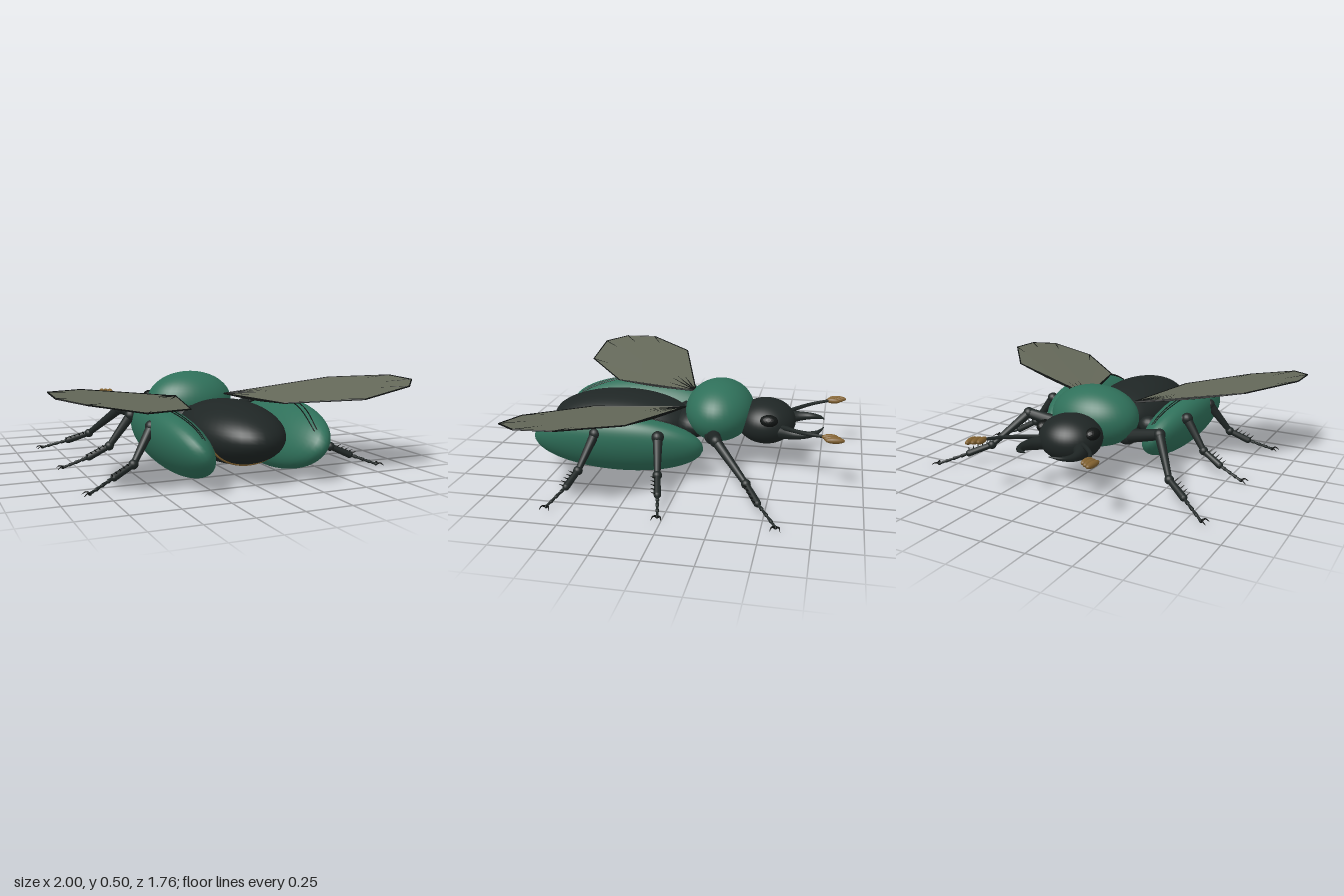
import * as THREE from 'three';

const mat = (color, extra = {}) => new THREE.MeshStandardMaterial({ color, ...extra });
const green = mat(0x2f705a);
const dark = mat(0x1f2625);
const black = mat(0x0e1110);
const brown = mat(0x80602f);
const membrane = mat(0x646859, { side: THREE.DoubleSide });
const V = (x, y, z) => new THREE.Vector3(x, y, z);

function add(parent, name, geometry, material) {
  const mesh = new THREE.Mesh(geometry, material);
  mesh.name = name;
  parent.add(mesh);
  return mesh;
}

function ellipsoid(parent, name, material, center, radii, w = 40, h = 28) {
  const mesh = add(parent, name, new THREE.SphereGeometry(1, w, h), material);
  mesh.position.set(...center);
  mesh.scale.set(...radii);
  return mesh;
}

// Straight limb segment tapering from radius ra at a to rb at b
function segment(parent, name, material, a, b, ra, rb, sides = 12) {
  const mesh = add(parent, name, new THREE.CylinderGeometry(rb, ra, a.distanceTo(b), sides), material);
  mesh.position.lerpVectors(a, b, 0.5);
  mesh.quaternion.setFromUnitVectors(V(0, 1, 0), b.clone().sub(a).normalize());
  return mesh;
}

// Tube along a smooth curve whose radius changes from r0 to r1
function taperTube(parent, name, material, points, r0, r1 = r0, steps = 20, sides = 8) {
  const curve = new THREE.CatmullRomCurve3(points);
  const geo = new THREE.TubeGeometry(curve, steps, 1, sides);
  const pos = geo.attributes.position;
  const p = V(0, 0, 0);
  for (let i = 0; i < pos.count; i++) {
    const u = Math.floor(i / (sides + 1)) / steps;
    const c = curve.getPointAt(u);
    p.fromBufferAttribute(pos, i).sub(c).multiplyScalar(r0 + (r1 - r0) * u).add(c);
    pos.setXYZ(i, p.x, p.y, p.z);
  }
  return add(parent, name, geo, material);
}

// Wing case: tilted ellipsoid with two raised dark lines
function makeWingCase(s) {
  const g = new THREE.Group();
  g.name = 'wingCase';
  g.position.set(s * 0.325, 0.2, 0.38);
  g.rotation.z = -s * 0.576;
  const [b, a, c] = [0.13, 0.203, 0.495];
  ellipsoid(g, 'wingCaseShell', green, [0, 0, 0], [b, a, c]);
  for (const start of [-32, -22]) {
    const pts = [];
    for (let i = 0; i <= 14; i++) {
      const u = -0.85 + (1.72 * i) / 14;
      const t = THREE.MathUtils.degToRad(start - 38 * u * u);
      const k = Math.sqrt(1 - u * u) * 1.01;
      pts.push(V(s * b * k * Math.sin(t), a * k * Math.cos(t), c * u));
    }
    taperTube(g, 'wingCaseLine', black, pts, 0.003, 0.003, 40, 5);
  }
  return g;
}

// Membrane wing: faceted fan with a dark border and radiating veins
function makeWing(s) {
  const g = new THREE.Group();
  g.name = 'flightWing';
  const outline = [
    [0.155, 0.38, 0.02], [0.765, 0.47, 0.2], [0.993, 0.503, 0.49], [0.996, 0.498, 0.69],
    [0.885, 0.48, 0.815], [0.6, 0.425, 0.82], [0.27, 0.385, 0.54],
  ].map(([x, y, z]) => V(s * x, y, z));
  const geo = new THREE.BufferGeometry().setFromPoints(outline);
  const index = [];
  for (let i = 1; i < outline.length - 1; i++) index.push(0, ...(s > 0 ? [i + 1, i] : [i, i + 1]));
  geo.setIndex(index);
  geo.computeVertexNormals();
  add(g, 'wingMembrane', geo, membrane);
  outline.forEach((p, i) => {
    segment(g, 'wingBorder', black, p, outline[(i + 1) % outline.length], 0.004, 0.004, 6);
    if (i === 0) return;
    const mid = outline[0].clone().lerp(p, 0.55);
    mid.y -= 0.008;
    taperTube(g, 'wingVein', black, [outline[0], mid, p], 0.005, 0.003, 12, 5);
  });
  return g;
}

// Leg from body (a) over the knee (b) and shin (c, d) to the foot (e)
function makeLeg(name, s, joints) {
  const g = new THREE.Group();
  g.name = name;
  const [a, b, c, d, e] = joints.map(([x, y, z]) => V(s * x, y, z));
  ellipsoid(g, 'hip', dark, a.toArray(), [0.06, 0.05, 0.05], 16, 12);
  segment(g, 'upperLeg', dark, a, b, 0.042, 0.03);
  ellipsoid(g, 'knee', dark, b.toArray(), [0.034, 0.034, 0.034], 16, 12);
  segment(g, 'thigh', dark, b, c, 0.028, 0.017);
  ellipsoid(g, 'shinJoint', dark, c.toArray(), [0.026, 0.026, 0.026], 16, 12);
  segment(g, 'shin', dark, c, d, 0.017, 0.02);
  ellipsoid(g, 'ankle', dark, d.toArray(), [0.02, 0.02, 0.02], 12, 8);

  // Row of spines along the shin
  for (let i = 0; i < 5; i++) {
    const p = c.clone().lerp(d, 0.2 + i * 0.2);
    segment(g, 'shinSpine', black, p, p.clone().add(V(s * 0.025, 0.025, 0.03)), 0.006, 0.001, 6);
  }
  // Beaded foot
  for (let i = 0; i < 4; i++) {
    const p = d.clone().lerp(e, i / 4);
    const q = d.clone().lerp(e, (i + 1) / 4);
    segment(g, 'footSegment', dark, p, q, 0.006, 0.011 - i * 0.001, 8);
    ellipsoid(g, 'footJoint', dark, q.toArray(), [0.01, 0.01, 0.01], 8, 6);
  }
  // Pair of hooked claws
  for (const k of [-1, 1]) {
    const mid = e.clone().add(V(s * 0.015, 0.008, k * 0.018));
    const tip = e.clone().add(V(s * 0.036, -0.006, k * 0.026));
    taperTube(g, 'claw', black, [e, mid, tip], 0.007, 0.001, 8, 6);
  }
  return g;
}

function makeHeadParts(s) {
  const g = new THREE.Group();
  g.name = 'headParts';
  const eye = add(g, 'eye', new THREE.IcosahedronGeometry(1, 3), mat(0x101413, { flatShading: true }));
  eye.position.set(s * 0.153, 0.325, -0.46);
  eye.scale.set(0.04, 0.034, 0.052);

  // Jaw
  const jaw = [[0.12, 0.255, -0.53], [0.158, 0.258, -0.61], [0.162, 0.262, -0.68], [0.13, 0.27, -0.735], [0.07, 0.28, -0.765]];
  taperTube(g, 'jaw', dark, jaw.map(([x, y, z]) => V(s * x, y, z)), 0.042, 0.002, 24, 12);

  // Antenna with a three-lobed club
  const stalk = [[0.13, 0.285, -0.53], [0.2, 0.295, -0.6], [0.265, 0.305, -0.68], [0.315, 0.315, -0.775]];
  taperTube(g, 'antennaStalk', dark, stalk.map(([x, y, z]) => V(s * x, y, z)), 0.014, 0.009);
  [[0.318, -0.805], [0.342, -0.82], [0.366, -0.832]].forEach(([x, z], i) => {
    const lobe = ellipsoid(g, 'antennaLobe', brown, [s * x, 0.316, z], [0.017, 0.017, 0.045 + i * 0.004], 14, 10);
    lobe.rotation.y = s * 0.1;
  });
  return g;
}

export function createModel() {
  const model = new THREE.Group();
  model.name = 'beetle';

  // Body
  const belly = { y: 0.238, z: 0.435, r: [0.253, 0.167, 0.43] };
  ellipsoid(model, 'abdomen', dark, [0, belly.y, belly.z], belly.r);
  ellipsoid(model, 'thorax', green, [0, 0.327, -0.157], [0.264, 0.177, 0.2]);
  ellipsoid(model, 'neck', dark, [0, 0.25, -0.02], [0.17, 0.09, 0.14], 24, 16);
  ellipsoid(model, 'head', dark, [0, 0.276, -0.43], [0.18, 0.13, 0.172]);

  // Brown bands under the abdomen
  for (const z of [0.2, 0.665]) {
    const k = Math.sqrt(1 - ((z - belly.z) / belly.r[2]) ** 2);
    const pts = [];
    for (let i = 0; i <= 12; i++) {
      const t = Math.PI * (1.06 + (0.88 * i) / 12);
      pts.push(V(belly.r[0] * k * Math.cos(t), belly.y + belly.r[1] * k * Math.sin(t), z));
    }
    taperTube(model, 'abdomenBand', brown, pts, 0.007, 0.007, 32, 8);
  }

  const legs = {
    frontLeg: [[0.2, 0.23, -0.15], [0.43, 0.29, -0.205], [0.575, 0.12, -0.39], [0.69, 0.07, -0.465], [0.83, 0.016, -0.573]],
    middleLeg: [[0.22, 0.23, 0.1], [0.46, 0.3, 0.11], [0.58, 0.13, 0.085], [0.69, 0.07, 0.058], [0.83, 0.016, 0.025]],
    hindLeg: [[0.22, 0.23, 0.42], [0.46, 0.295, 0.465], [0.58, 0.12, 0.53], [0.69, 0.07, 0.56], [0.83, 0.016, 0.62]],
  };
  for (const s of [-1, 1]) {
    model.add(makeWingCase(s), makeWing(s), makeHeadParts(s));
    for (const [name, joints] of Object.entries(legs)) model.add(makeLeg(name, s, joints));
  }
  return model;
}
